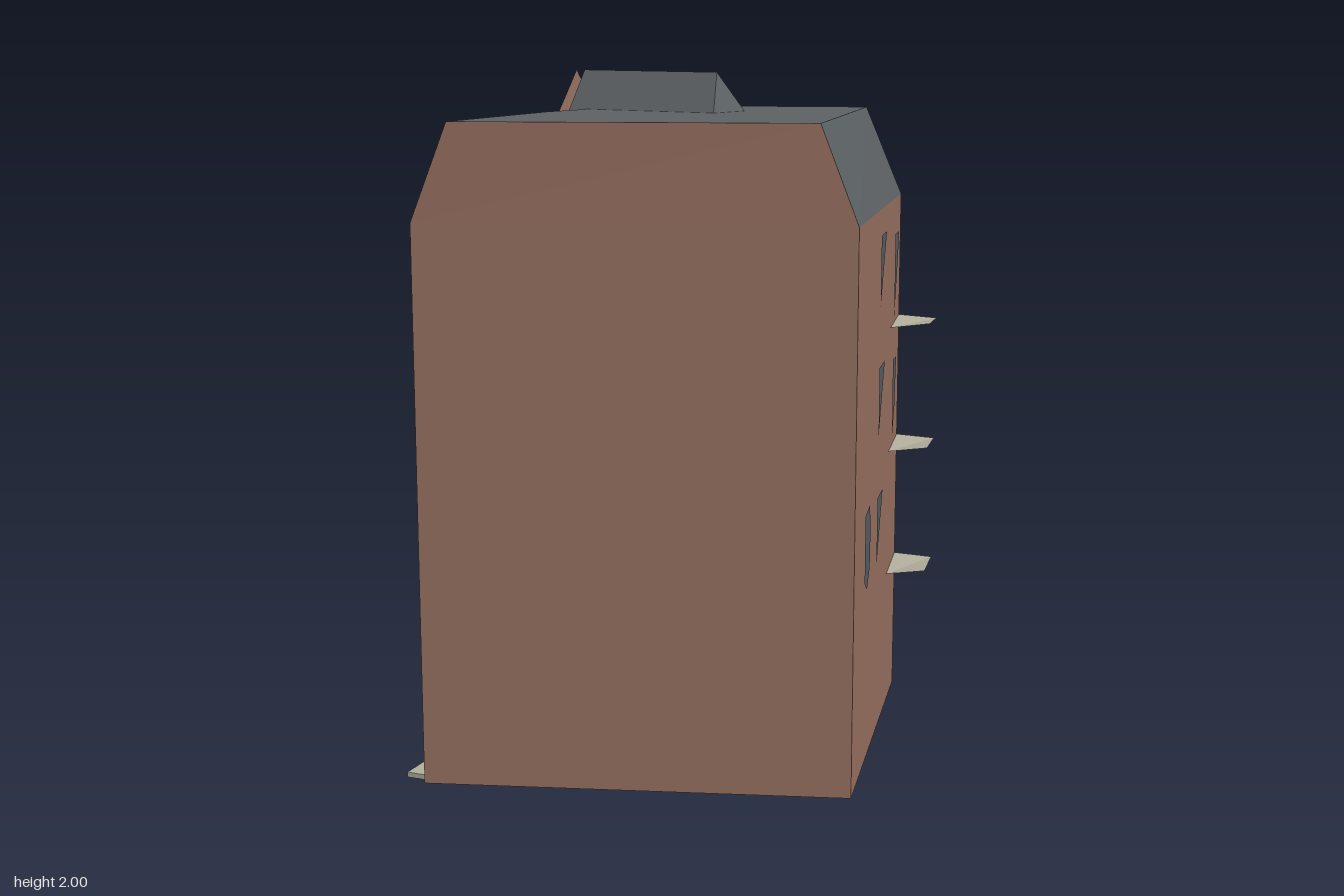
import * as THREE from 'three';

const mat = (name, color, side = THREE.FrontSide) => {
  const m = new THREE.MeshStandardMaterial({ color, side });
  m.name = name;
  return m;
};

export function createModel() {
  const D2 = THREE.DoubleSide;
  const brick = mat('brick', 0x96705f, D2);
  const slate = mat('slate', 0x5d6265, D2);
  const glass = mat('windowGlass', 0x555c60, D2);
  const stone = mat('balconyStone', 0xb4b09f, D2);
  const cream = mat('cream', 0xd4d1c3, D2);
  const red = mat('doorRed', 0x86222a, D2);

  const model = new THREE.Group();
  model.name = 'cornerBuilding';
  const add = (parent, name, geo, material) => {
    const m = new THREE.Mesh(geo, material);
    m.name = name;
    parent.add(m);
    return m;
  };

  // Flat polygon through 3D points, fanned from the first one
  const face = (pts) => {
    const p = [];
    for (let i = 1; i < pts.length - 1; i++) p.push(...pts[0], ...pts[i], ...pts[i + 1]);
    const g = new THREE.BufferGeometry();
    g.setAttribute('position', new THREE.Float32BufferAttribute(p, 3));
    g.computeVertexNormals();
    return g;
  };
  const poly = (pts) => new THREE.ShapeGeometry(new THREE.Shape(pts.map(([x, y]) => new THREE.Vector2(x, y))));

  // Footprint and flat roof outline as [x, z]: left, front, right, back, back bend
  const EAVE = 1.61, TOP = 1.885, PEAK = 2;
  const foot = [[-0.89, -0.09], [0.05, 0.69], [0.81, -0.055], [0.175, -0.64], [-0.35, -0.44]];
  const crown = [[-0.81, -0.02], [-0.03, 0.62], [0.665, -0.055], [0.155, -0.53], [-0.31, -0.34]];

  // Walls
  const plan = new THREE.Shape(foot.map(([x, z]) => new THREE.Vector2(x, -z)));
  const body = new THREE.ExtrudeGeometry(plan, { depth: EAVE, bevelEnabled: false }).rotateX(-Math.PI / 2);
  add(model, 'walls', body, brick);

  // Roof skirt; the first side is a plain brick party wall
  foot.forEach((a, i) => {
    const j = (i + 1) % foot.length, b = foot[j], c = crown[j], d = crown[i];
    const g = face([[a[0], EAVE, a[1]], [b[0], EAVE, b[1]], [c[0], TOP, c[1]], [d[0], TOP, d[1]]]);
    add(model, i ? 'roofSlope' : 'partyWallTop', g, i ? slate : brick);
  });
  add(model, 'flatRoof', face(crown.map(([x, z]) => [x, TOP, z])), slate);

  // Group aligned to a wall: x runs left to right as seen from outside, z points out
  const wall = (name, i) => {
    const [px, pz] = foot[i], [qx, qz] = foot[(i + 1) % foot.length];
    const g = new THREE.Group();
    g.name = name;
    g.position.set(px, 0, pz);
    g.rotation.y = Math.atan2(pz - qz, qx - px);
    g.userData.len = Math.hypot(qx - px, qz - pz);
    model.add(g);
    return g;
  };
  // Thin painted plate; points are [fraction along wall, height]
  const plate = (w, name, pts, material, off = 0.004) =>
    add(w, name, poly(pts.map(([u, y]) => [u * w.userData.len, y])), material).position.z = off;

  // Window shapes between u0..u1 and y0..y1
  const wedge = [[0, 0], [1, 1], [0, 1]];
  const pane = [[0, 0.13], [0.45, 0], [0.92, 0.2], [1, 0.75], [0.75, 1], [0, 0.96]];
  const wide = [[0, 0.13], [0.5, 0], [0.9, 0.1], [1, 0.5], [0.9, 0.92], [0.1, 1]];
  const spear = [[0, 0], [0.6, 0.55], [1, 1], [0, 1]];
  const windowAt = (w, shape, u0, u1, y0, y1) =>
    plate(w, 'window', shape.map(([a, b]) => [u0 + a * (u1 - u0), y0 + b * (y1 - y0)]), glass);

  // Thin balcony slab, gently folded along its diagonal
  const balcony = (w, u0, u1, y, out) => {
    const l = w.userData.len;
    add(w, 'balcony', face([[u0 * l, y - 0.008, 0], [u1 * l, y, 0],
      [u1 * l, y - 0.008, out], [u0 * l, y + 0.008, out]]), stone);
  };
  const levels = [0.44, 0.835, 1.225];

  // Front right facade
  const right = wall('rightFacade', 1);
  windowAt(right, pane, 0.2, 0.32, 0.535, 0.775);
  for (const y of [0.54, 0.935, 1.325]) windowAt(right, wedge, 0.475, 0.6, y, y + 0.21);
  windowAt(right, spear, 0.83, 0.93, 1.24, 1.5);
  windowAt(right, [[0.15, 0], [0.7, 0.35], [1, 0.98], [0, 1]], 0.82, 0.905, 0.865, 1.11);
  for (const y of levels) balcony(right, 0.775, 1, y, 0.12);

  // Gabled back facade
  const back = wall('gableFacade', 3);
  plate(back, 'gable', [[0, EAVE], [1, EAVE], [0.5, PEAK]], brick, 0);
  for (const [u0, u1] of [[0.13, 0.41], [0.59, 0.87]]) {
    windowAt(back, wedge, u0, u1, 1.24, 1.475);
    windowAt(back, u0 < 0.5 ? wedge : wide, u0, u1, u0 < 0.5 ? 0.845 : 0.82, 1.09);
    windowAt(back, wedge, u0, u1, 0.465, 0.705);
    windowAt(back, wide, u0 - 0.01, u1 + 0.02, 0.055, 0.345);
  }
  plate(back, 'atticWindow', [[0.38, 1.66], [0.68, 1.775], [0.33, 1.777]], glass);
  for (const y of levels) {
    balcony(back, 0.067, 0.476, y, 0.07);
    balcony(back, 0.51, 0.92, y, 0.07);
  }

  // Entrance facade
  const entry = wall('entranceFacade', 4);
  windowAt(entry, wedge, 0.18, 0.4, 1.28, 1.51);
  for (const y of [0.095, 0.49, 0.885]) windowAt(entry, pane, 0.18, 0.4, y, y + 0.26);
  plate(entry, 'window', [[0.62, 1.29], [0.7, 1.29], [0.72, 1.38], [0.68, 1.525], [0.64, 1.45]], glass);
  windowAt(entry, pane, 0.78, 0.91, 0.9, 1.14);
  plate(entry, 'door', [[0.61, 0.02], [0.77, 0.02], [0.88, 0.31], [0.61, 0.31]], red);
  plate(entry, 'doorTransom', [[0.61, 0.31], [0.88, 0.31], [0.75, 0.39]], glass);
  const step = new THREE.BoxGeometry(0.24, 0.015, 0.07);
  add(entry, 'doorStep', step, stone).position.set(0.5, 0.0075, 0.035);

  // Dormer with a pale sloping lid
  const dormer = new THREE.Group();
  dormer.name = 'dormer';
  entry.add(dormer);
  add(dormer, 'dormerBox', new THREE.BoxGeometry(0.25, 0.19, 0.11), slate).position.set(0.19, 1.705, -0.055);
  add(dormer, 'dormerPane', poly([[0.15, 1.635], [0.3, 1.635], [0.3, 1.77]]), cream).position.z = 0.004;
  const lid = add(dormer, 'dormerLid', new THREE.BoxGeometry(0.28, 0.012, 0.115), cream);
  lid.position.set(0.19, 1.82, -0.04);
  lid.rotation.x = 0.36;

  // Roof behind the gable, running onto the flat roof and hipped at its end
  const ridgeA = [-0.08, PEAK, -0.505], ridgeB = [0.105, PEAK, -0.06];
  const endL = [0.045, TOP, 0.01], endR = [0.195, TOP, -0.045];
  add(model, 'gableRoofLeft', face([ridgeA, [-0.275, 1.7, -0.42], [-0.13, TOP, -0.415], endL, ridgeB]), slate);
  add(model, 'gableRoofRight', face([ridgeB, endR, [0.03, TOP, -0.465], [0.125, 1.7, -0.59], ridgeA]), slate);
  add(model, 'gableRoofHip', face([endL, endR, ridgeB]), slate);

  return model;
}
